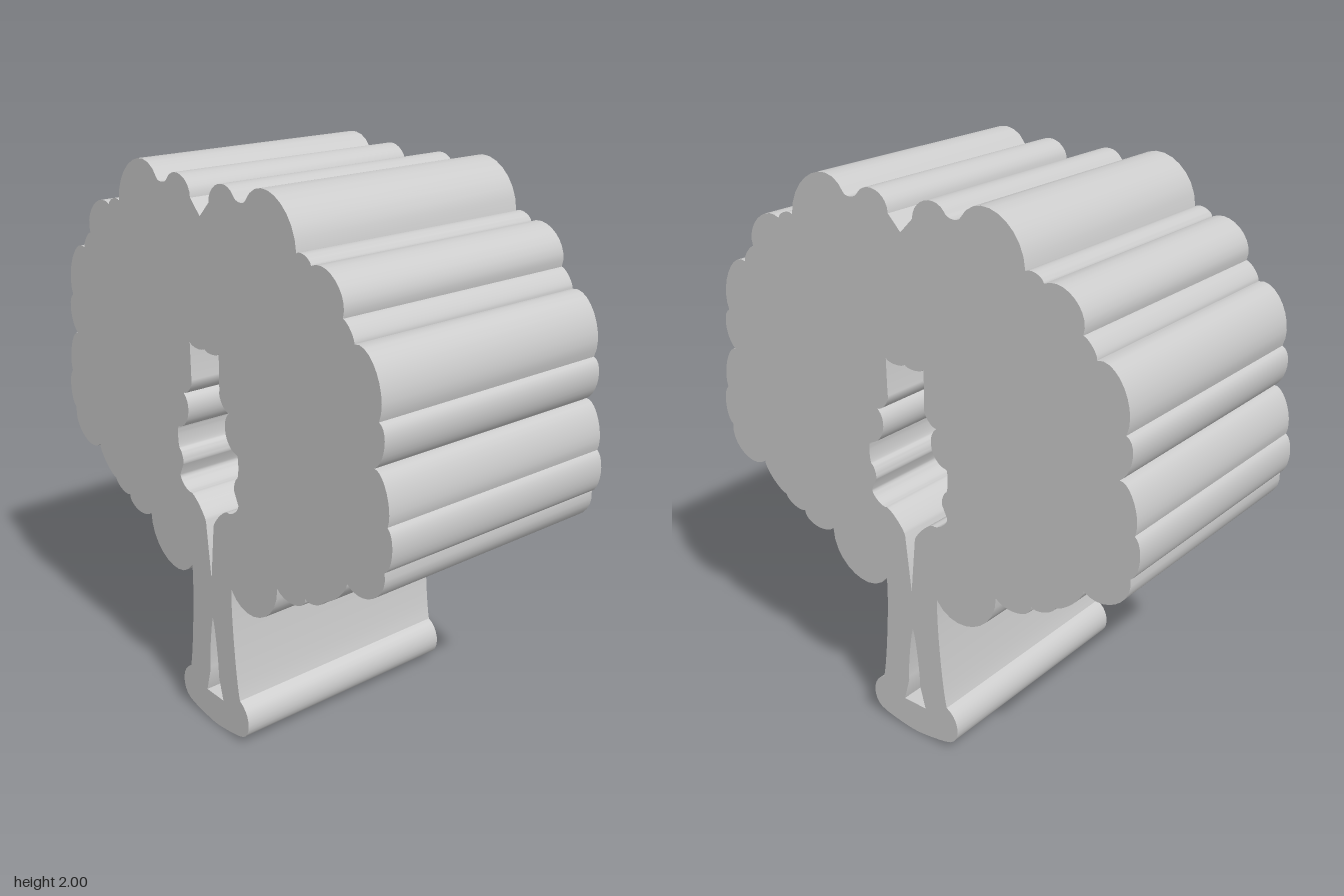
import * as THREE from 'three';
import { toCreasedNormals } from 'three/addons/utils/BufferGeometryUtils.js';

const DEPTH = 0.92;

// Right half of each outline, from bottom to top. Each row is one lobe:
// end x, end y, bulge height (negative bends inward), lean along the chord.
const CROWN = [
  [0.375, 0.71, 0.1, -0.05], [0.52, 0.735, 0.036, 0.1], [0.615, 0.77, 0.018],
  [0.72, 0.872, 0.017], [0.885, 0.975, 0.063], [0.893, 1.123, 0.026],
  [0.832, 1.285, 0.03, 0.1], [0.848, 1.43, 0.032, 0.08], [0.74, 1.63, 0.055, 0.1],
  [0.69, 1.692, 0.01], [0.55, 1.815, 0.055], [0.483, 1.838, 0.014],
  [0.24, 1.95, 0.094, 0.1], [0.18, 1.957, -0.012], [0.05, 1.915, 0.046], [0, 1.865],
];
const TRUNK = [[0.15, 0.022, 0.004], [0.152, 0.17, 0.05, -0.05], [0.118, 0.6, -0.01]];
const CANOPY_HOLE = [
  [0.022, 0.8], [0.105, 0.885, -0.011], [0.17, 0.933, 0.014], [0.15, 0.975],
  [0.168, 1.03, -0.008], [0.17, 1.112, 0.006], [0.13, 1.245, -0.043],
  [0.08, 1.31, -0.016], [0.082, 1.435], [0, 1.432, -0.011],
];
const TRUNK_SLIT = [[0.05, 0.12], [0.026, 0.21], [0, 0.44, 0.006]];

// One lobe: a cubic arch standing on the chord from a to b
function lobePoints(a, b, bulge, lean) {
  if (bulge === 0) return [b];
  const chord = b.clone().sub(a);
  const outward = new THREE.Vector2(chord.y, -chord.x).setLength(bulge / 0.75);
  const control = (t) => a.clone().addScaledVector(chord, t + lean).add(outward);
  return new THREE.CubicBezierCurve(a, control(0.15), control(0.85), b).getPoints(10).slice(1);
}

// Chain the lobes upward from x = 0, then mirror them into a closed loop
function mirroredLoop(startY, lobes) {
  const half = [new THREE.Vector2(0, startY)];
  for (const [x, y, bulge = 0, lean = 0] of lobes) {
    half.push(...lobePoints(half[half.length - 1], new THREE.Vector2(x, y), bulge, lean));
  }
  const mirror = half.slice(1, -1).reverse().map((p) => new THREE.Vector2(-p.x, p.y));
  return [...half, ...mirror];
}

export function createModel() {
  const group = new THREE.Group();
  group.name = 'treeCutout';

  // Tree silhouette with the canopy opening and the trunk slit
  const shape = new THREE.Shape(mirroredLoop(0, [...TRUNK, ...CROWN]));
  shape.holes.push(
    new THREE.Path(mirroredLoop(0.59, CANOPY_HOLE)),
    new THREE.Path(mirroredLoop(0.12, TRUNK_SLIT)),
  );

  const geometry = new THREE.ExtrudeGeometry(shape, { depth: DEPTH, bevelEnabled: false });
  geometry.translate(0, 0, -DEPTH / 2);

  const tree = new THREE.Mesh(
    toCreasedNormals(geometry, 0.6),
    new THREE.MeshStandardMaterial({ color: 0xcccccc }),
  );
  tree.name = 'treeBody';
  group.add(tree);
  return group;
}
